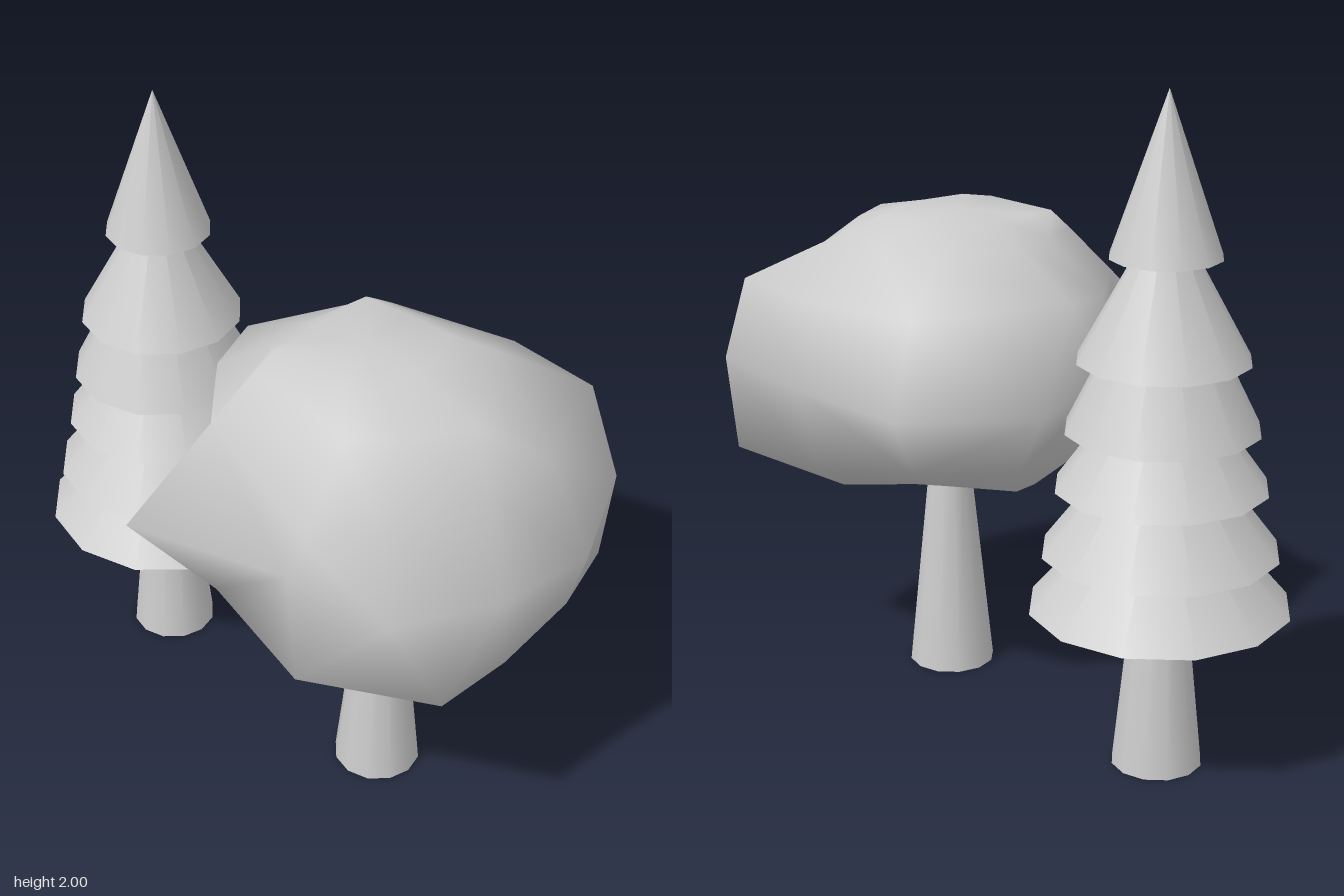
import * as THREE from 'three';

export function createModel() {
  const model = new THREE.Group();
  const grey = new THREE.MeshStandardMaterial({ color: 0xcccccc, side: THREE.DoubleSide });
  grey.name = 'plain grey';

  const add = (parent, name, geometry, x = 0, y = 0, z = 0) => {
    const mesh = new THREE.Mesh(geometry, grey);
    mesh.name = name;
    mesh.position.set(x, y, z);
    parent.add(mesh);
  };
  // Hollow tapering trunk standing on the ground
  const trunk = (h) => new THREE.CylinderGeometry(0.135 - 0.103 * h, 0.135, h, 12, 1, true);

  // Conifer: stacked open cones [base height, radius, tip height]
  const conifer = new THREE.Group();
  conifer.name = 'conifer';
  conifer.position.set(-0.585, 0, -0.03);
  add(conifer, 'coniferTrunk', trunk(0.62), 0, 0.31, 0);
  const tiers = [
    [0.5, 0.384, 0.95], [0.67, 0.347, 1.13], [0.865, 0.31, 1.3],
    [1.037, 0.283, 1.61], [1.24, 0.251, 1.7], [1.535, 0.162, 2],
  ];
  tiers.forEach(([base, r, tip], i) => {
    const cone = new THREE.ConeGeometry(r, tip - base, 12, 1, true);
    add(conifer, `branchTier${i + 1}`, cone, 0, (base + tip) / 2, 0);
  });

  // Broadleaf tree
  const broadleaf = new THREE.Group();
  broadleaf.name = 'broadleafTree';
  add(broadleaf, 'broadleafTrunk', trunk(0.64), 0.365, 0.32, -0.025);
  add(broadleaf, 'leafCrown', crownGeometry());

  model.add(conifer, broadleaf);
  return model;
}

// Lumpy crown lofted through uneven rings of ten points, starting at +x towards +z.
// Each ring: height, then points [x, z, height offset]
function crownGeometry() {
  const rings = [
    [0.59, [[.71, -.05], [.63, .12], [.42, .25, .01], [.25, .27, .01], [.1, .1, .05],
      [.05, -.02, .07], [.2, -.16, .08], [.42, -.22, .045], [.64, -.24, -.02], [.7, -.2, -.01]]],
    [0.77, [[.9, .05], [.89, .31], [.51, .5, -.02], [.09, .4], [-.13, .1, .05],
      [-.17, -.2, .065], [-.02, -.48, .08], [.37, -.55, .01], [.77, -.55, -.03], [.88, -.25, .02]]],
    [1.035, [[.92, .1], [.77, .4], [.42, .44], [-.085, .585, -.015], [-.17, .18],
      [-.31, -.24], [-.045, -.57], [.37, -.595], [.79, -.57], [.965, -.21]]],
    [1.31, [[.8, .05], [.7, .36], [.565, .52, -.02], [.02, .34], [-.18, .12],
      [-.235, -.06, .02], [-.03, -.48], [.37, -.58], [.68, -.56], [.82, -.2]]],
    [1.45, [[.7, -.02], [.58, .17], [.46, .26], [.075, .22], [.02, .09],
      [0, -.06], [.06, -.3], [.28, -.34], [.48, -.34], [.62, -.17]]],
    [1.51, [[.46, -.04], [.44, .1], [.36, .15], [.1, .165], [.1, .08],
      [.095, -.05], [.095, -.22], [.25, -.235], [.4, -.24], [.45, -.14]]],
  ];
  const n = 10;
  const corners = [];
  const index = [];
  for (const [y, points] of rings) {
    for (const [x, z, dy = 0] of points) corners.push(new THREE.Vector3(x, y + dy, z));
  }
  const bottomId = corners.length;
  corners.push(new THREE.Vector3(0.4, 0.585, -0.02), new THREE.Vector3(0.27, 1.515, -0.03));

  for (let j = 0; j < n; j++) {
    const k = (j + 1) % n;
    for (let i = 0; i < rings.length - 1; i++) {
      const a = i * n + j, b = i * n + k, c = a + n, d = b + n;
      // Split each quad along its shorter diagonal
      if (corners[a].distanceTo(corners[d]) < corners[b].distanceTo(corners[c])) index.push(a, c, d, a, d, b);
      else index.push(a, c, b, c, d, b);
    }
    const last = (rings.length - 1) * n;
    index.push(bottomId, j, k, last + j, bottomId + 1, last + k);
  }
  const geometry = new THREE.BufferGeometry().setFromPoints(corners);
  geometry.setIndex(index);
  geometry.computeVertexNormals();
  return geometry;
}
